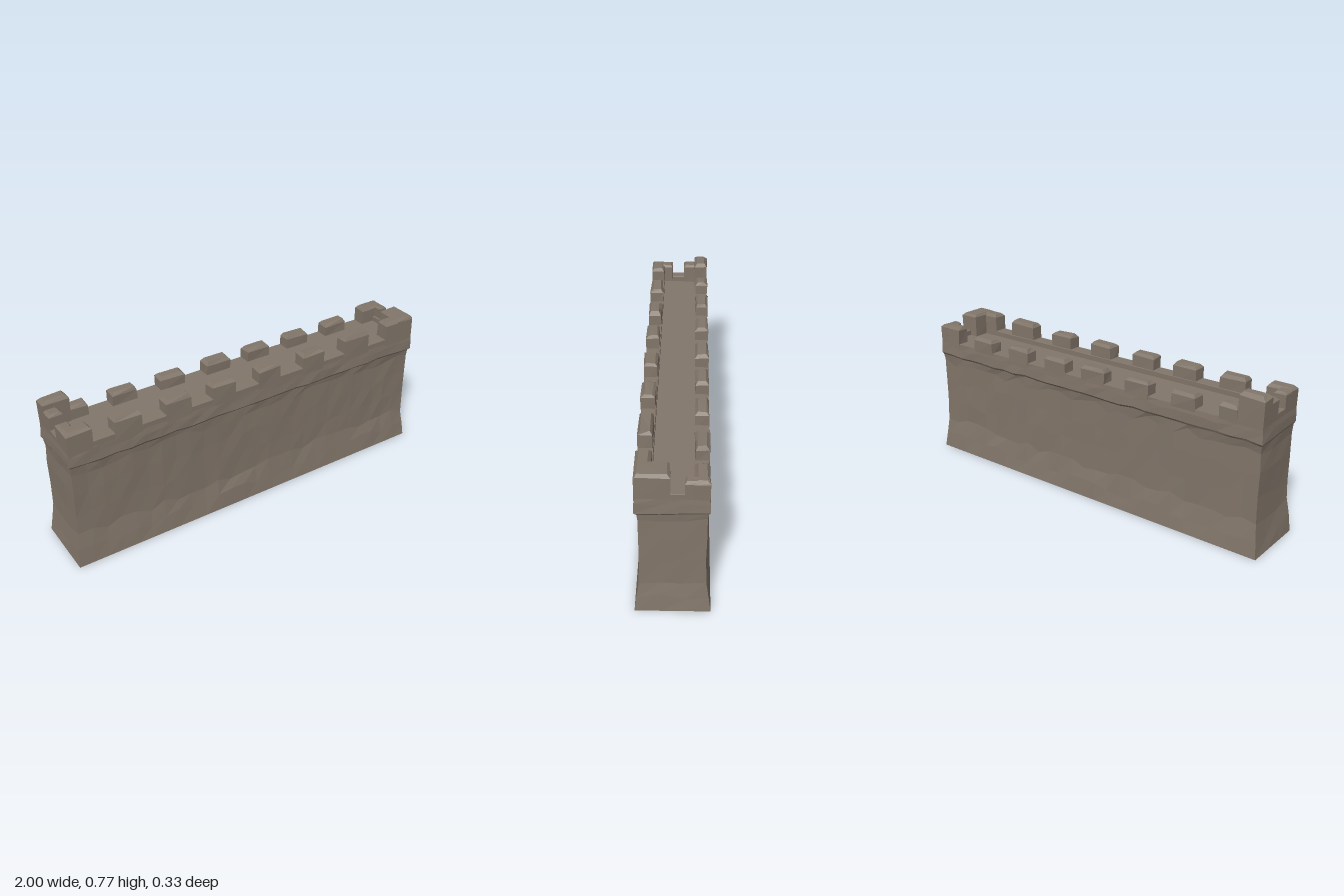
import * as THREE from 'three';

const stone = new THREE.MeshStandardMaterial({ color: 0x82766a, flatShading: true });
stone.name = 'stone';

// Repeatable noise in -1..1 from a position, so shared corners move together
function noise(x, y, z, k) {
  const s = Math.sin(x * 127.1 + y * 311.7 + z * 74.7 + k * 53.3) * 43758.5453;
  return (s - Math.floor(s)) * 2 - 1;
}

function addMesh(group, name, geometry) {
  geometry.computeVertexNormals();
  const mesh = new THREE.Mesh(geometry, stone);
  mesh.name = name;
  group.add(mesh);
  return mesh;
}

// Wall profile rows: height, half length, half depth
const ROWS = [
  [0, 0.998, 0.166], [0.08, 0.988, 0.156], [0.165, 0.978, 0.143], [0.28, 0.977, 0.143],
  [0.4, 0.976, 0.143], [0.505, 0.975, 0.143], [0.545, 0.979, 0.147], [0.556, 0.984, 0.155],
  [0.6, 0.982, 0.154], [0.628, 0.98, 0.152],
];
const DECK = 0.628;

// Flared wall with a ragged projecting course under the parapet
function wallGeometry() {
  const last = ROWS.length - 1;
  const g = new THREE.BoxGeometry(2, last, 2, 26, last, 3);
  const p = g.attributes.position;
  for (let i = 0; i < p.count; i++) {
    const x = p.getX(i), y = p.getY(i), z = p.getZ(i);
    const row = Math.round(y + last / 2);
    const [h, halfX, halfZ] = ROWS[row];
    const cx = Math.round(x * 13), cz = Math.round(z * 3);
    const loose = row > 0 && row < last ? 1 : 0;
    const lip = row === 6 || row === 7;
    const lift = lip ? 0.005 * noise(cx, 0, cz, 1) : 0.02 * noise(cx, row, cz, 1);
    const rough = loose * 0.0022;
    p.setXYZ(i,
      x * halfX + rough * noise(cx, row, cz, 2),
      h + (row === 8 ? 0.3 : 1) * loose * lift,
      z * halfZ + rough * noise(cx, row, cz, 3));
  }
  return g;
}

// Stone block between two corners, with a worn bevel around the top
function blockGeometry(x0, x1, y0, y1, z0, z1, bevel) {
  const g = new THREE.BoxGeometry(1, 2, 1, 1, 2, 1);
  const p = g.attributes.position;
  const cx = (x0 + x1) / 2, cz = (z0 + z1) / 2;
  for (let i = 0; i < p.count; i++) {
    const sx = Math.sign(p.getX(i)), sz = Math.sign(p.getZ(i));
    const row = Math.round(p.getY(i) + 1);
    const inset = row === 2 ? bevel : 0;
    const wear = row === 0 ? 0 : bevel * 0.25;
    p.setXYZ(i,
      cx + sx * ((x1 - x0) / 2 - inset) + wear * noise(x0, row, sx + 3 * sz, 4),
      [y0, y1 - bevel * 1.2, y1][row] + wear * noise(x0 + z0, row, sx + 3 * sz, 5),
      cz + sz * ((z1 - z0) / 2 - inset) + wear * noise(x0, row, sx + 3 * sz, 6));
  }
  return g;
}

export function createModel() {
  const model = new THREE.Group();
  model.name = 'castleWall';
  addMesh(model, 'wall', wallGeometry());

  const block = (name, x0, x1, y1, z0, z1, bevel = 0.013) =>
    addMesh(model, name, blockGeometry(x0, x1, DECK - 0.012, y1, z0, z1, bevel));

  // Low parapets along the front and both ends
  block('frontParapet', -0.98, 0.98, 0.655, 0.085, 0.152, 0.002);
  block('leftEndParapet', 0.925, 0.98, 0.655, -0.152, 0.152, 0.002);
  block('rightEndParapet', -0.98, -0.925, 0.655, -0.152, 0.152, 0.002);

  // Front merlons: start, end, top
  for (const [a, b, top] of [
    [-0.755, -0.62, 0.725], [-0.495, -0.365, 0.725], [-0.25, -0.125, 0.727], [0.01, 0.135, 0.727],
    [0.27, 0.395, 0.727], [0.53, 0.685, 0.737],
  ]) block('frontMerlon', a, b, top, 0.088, 0.154);

  // Back merlons
  for (const [a, b] of [
    [-0.645, -0.515], [-0.39, -0.26], [-0.135, 0], [0.105, 0.235], [0.35, 0.48], [0.6, 0.73],
  ]) block('backMerlon', a, b, 0.694, -0.154, -0.09);

  // Corner merlons
  block('frontLeftCorner', 0.8, 0.98, 0.747, 0.085, 0.155, 0.015);
  block('frontLeftCornerReturn', 0.88, 0.98, 0.747, 0.008, 0.153, 0.012);
  block('backLeftCorner', 0.85, 0.98, 0.718, -0.153, -0.09);
  block('backLeftCornerReturn', 0.935, 0.98, 0.716, -0.153, -0.052, 0.01);
  block('frontRightCorner', -0.98, -0.86, 0.732, 0.085, 0.154);
  block('frontRightCornerReturn', -0.98, -0.92, 0.728, 0.04, 0.153, 0.01);
  block('backRightCorner', -0.98, -0.855, 0.764, -0.153, -0.085, 0.015);
  block('backRightStep', -0.855, -0.765, 0.694, -0.153, -0.09);
  block('endMerlon', -0.98, -0.915, 0.73, -0.09, -0.025, 0.01);

  return model;
}
